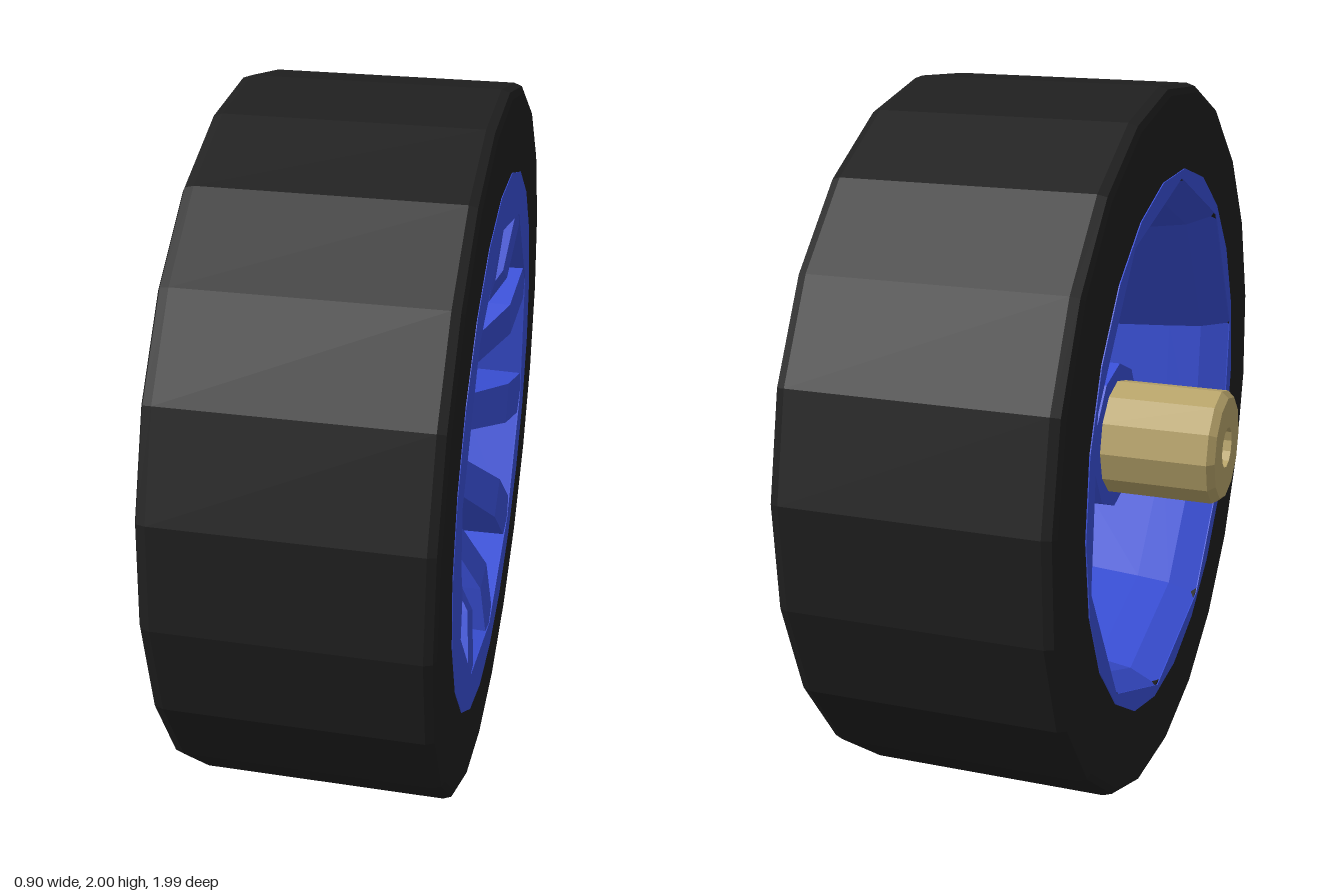
import * as THREE from 'three';

const SPOKES = 10;
const PHASE = THREE.MathUtils.degToRad(-6); // clockwise angle of the first spoke seen from +x

function material(name, color, side = THREE.FrontSide) {
  const m = new THREE.MeshStandardMaterial({ color, side, flatShading: true });
  m.name = name;
  return m;
}

// Revolves [radius, x] points around the x axis, with a vertex at the given angle
function revolve(profile, sides, angle) {
  const points = profile.map(([r, x]) => new THREE.Vector2(r, x));
  return new THREE.LatheGeometry(points, sides, -Math.PI / 2 - angle).rotateZ(-Math.PI / 2);
}

function polygon(radius, sides, angle) {
  return Array.from({ length: sides }, (_, i) => {
    const a = angle + (i / sides) * Math.PI * 2;
    return new THREE.Vector2(radius * Math.sin(a), radius * Math.cos(a));
  });
}

// Thin ring plate with a ten-sided opening
function ringPlate(hole, x) {
  const shape = new THREE.Shape(polygon(0.765, 22, Math.PI / 22));
  shape.holes.push(new THREE.Path(polygon(hole, SPOKES, PHASE)));
  const geometry = new THREE.ExtrudeGeometry(shape, { depth: 0.008, bevelEnabled: false });
  return geometry.rotateY(Math.PI / 2).translate(x, 0, 0);
}

// Gently dished spoke: a box bent through stations of radius, front, back and width
function spokeGeometry() {
  const stations = [
    [0.16, 0.295, 0.08, 0.11],
    [0.33, 0.34, 0.13, 0.115],
    [0.48, 0.43, 0.21, 0.125],
    [0.655, 0.4505, 0.25, 0.13],
  ];
  const geometry = new THREE.BoxGeometry(1, 1, 1, 1, 3, 1);
  const p = geometry.attributes.position;
  for (let i = 0; i < p.count; i++) {
    const [r, front, back, width] = stations[Math.round((p.getY(i) + 0.5) * 3)];
    const isFront = p.getX(i) > 0;
    p.setXYZ(i, isFront ? front : back, r, p.getZ(i) * (width + (isFront ? 0 : 0.015)));
  }
  geometry.computeVertexNormals();
  return geometry;
}

export function createModel() {
  const rubber = material('black rubber', 0x1f1f1f);
  const blue = material('blue rim', 0x3a50d8, THREE.DoubleSide);
  const brass = material('brass', 0xb9a56b);

  const wheel = new THREE.Group();
  wheel.name = 'wheel';
  wheel.position.y = 1;
  const add = (name, geometry, mat, parent = wheel) => {
    const mesh = new THREE.Mesh(geometry, mat);
    mesh.name = name;
    parent.add(mesh);
    return mesh;
  };

  // Tire with small edge bevels
  add('tire', revolve([
    [0.74, -0.282], [0.975, -0.282], [0.992, -0.274], [1, -0.25],
    [1, 0.42], [0.992, 0.442], [0.975, 0.45], [0.74, 0.45], [0.74, -0.282],
  ], 22, THREE.MathUtils.degToRad(2.7)), rubber);

  // Rim: two face rings joined by a ten-sided barrel with a bevelled back lip
  add('rimFrontRing', ringPlate(0.657, 0.444), blue);
  add('rimBackRing', ringPlate(0.74, -0.285), blue);
  add('rimBarrel', revolve([
    [0.74, -0.282], [0.7, -0.2], [0.685, -0.1], [0.645, 0.25], [0.657, 0.448],
  ], SPOKES, PHASE), blue);

  // Spokes
  const spokes = new THREE.Group();
  spokes.name = 'spokes';
  wheel.add(spokes);
  const spoke = spokeGeometry();
  for (let i = 0; i < SPOKES; i++) {
    add('spoke', spoke, blue, spokes).rotation.x = -(PHASE + (i / SPOKES) * Math.PI * 2);
  }

  // Hub collar with a shallow dished face, a flat cap and an axle bore
  add('hub', revolve([
    [0.058, -0.13], [0.21, -0.13], [0.21, 0.28], [0.195, 0.305],
    [0.14, 0.265], [0.133, 0.285], [0.058, 0.285], [0.058, -0.13],
  ], SPOKES, PHASE), blue);

  // Axle sleeve with a bevelled end
  add('axleSleeve', revolve([
    [0.058, -0.452], [0.145, -0.452], [0.163, -0.432],
    [0.163, -0.12], [0.058, -0.12], [0.058, -0.452],
  ], 12, 0), brass);

  const model = new THREE.Group();
  model.name = 'wheelModel';
  model.add(wheel);
  return model;
}
